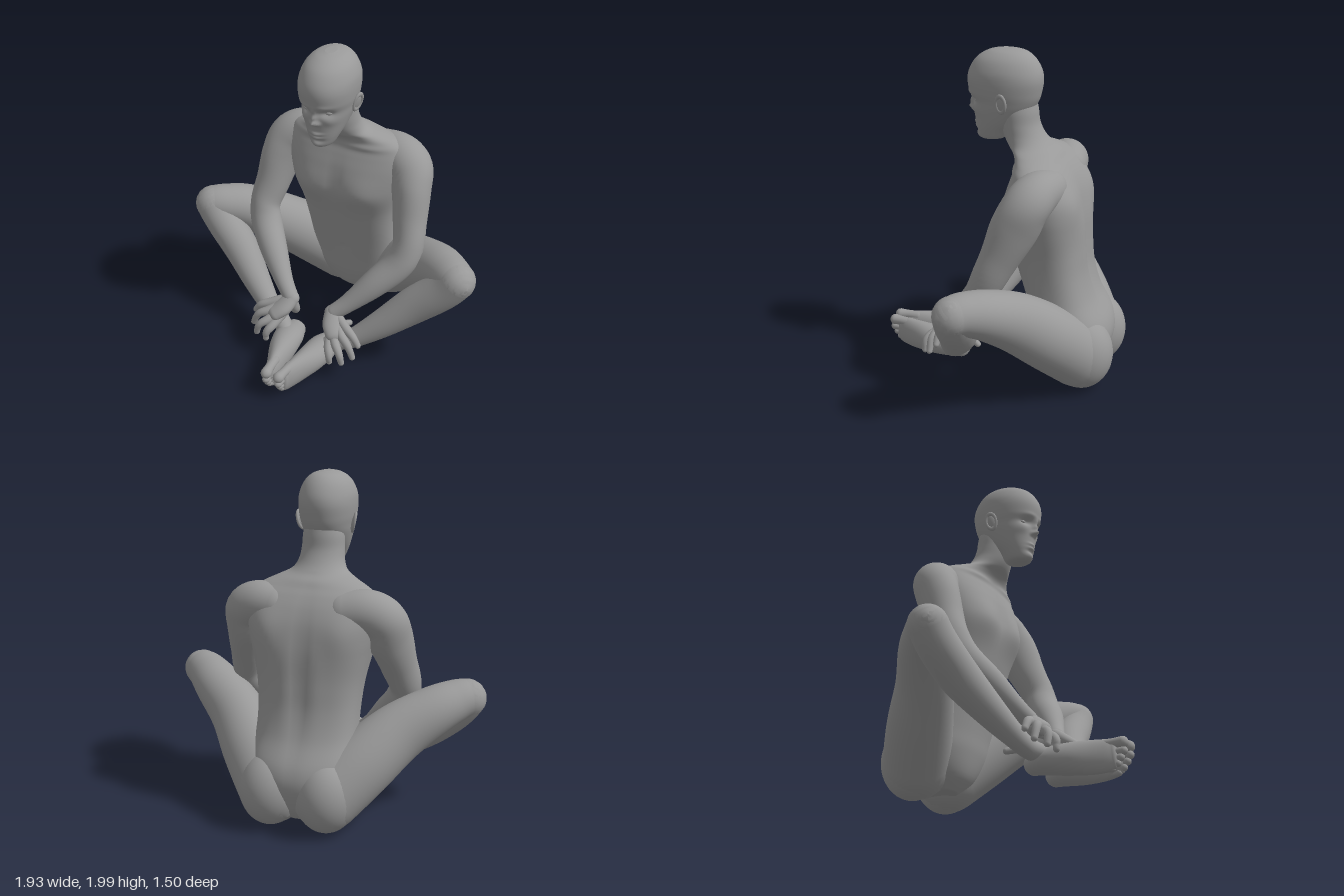
import * as THREE from 'three';

const skin = new THREE.MeshStandardMaterial({ color: 0x999999 });
skin.name = 'grey skin';
const V = (x, y, z) => new THREE.Vector3(x, y, z);

// Catmull-Rom interpolation of rows of numbers
function spline(rows, steps) {
  const out = [], n = rows.length - 1, at = i => rows[Math.min(n, Math.max(0, i))];
  for (let k = 0; k <= n * steps; k++) {
    const i = Math.min(n - 1, Math.floor(k / steps)), t = k / steps - i;
    const [a, b, c, d] = [at(i - 1), at(i), at(i + 1), at(i + 2)];
    out.push(b.map((_, j) => 0.5 * (2 * b[j] + (c[j] - a[j]) * t
      + (2 * a[j] - 5 * b[j] + 4 * c[j] - d[j]) * t * t
      + (3 * b[j] - a[j] - 3 * c[j] + d[j]) * t * t * t)));
  }
  return out;
}

// Skin a list of rings { c: centre, u, v: half axes, p: squareness }
function skinRings(rings, sides) {
  const pos = [], idx = [];
  const sq = (a, p) => Math.sign(a) * Math.pow(Math.abs(a), 2 / p);
  rings.forEach(({ c, u, v, p = 2 }, i) => {
    for (let j = 0; j < sides; j++) {
      const a = j / sides * Math.PI * 2;
      const q = c.clone().addScaledVector(u, sq(Math.cos(a), p)).addScaledVector(v, sq(Math.sin(a), p));
      pos.push(q.x, q.y, q.z);
      if (i === rings.length - 1) continue;
      const k = i * sides + j, l = i * sides + (j + 1) % sides;
      idx.push(k, k + sides, l, l, k + sides, l + sides);
    }
  });
  const g = new THREE.BufferGeometry();
  g.setAttribute('position', new THREE.Float32BufferAttribute(pos, 3));
  g.setIndex(idx);
  g.computeVertexNormals();
  return g;
}

// Upright body: rows of [y, half width, back z, front z, squareness]
function stack(rows, sides, steps) {
  const rings = spline(rows, steps).map(([y, w, b, f, p]) => ({
    c: V(0, y, (b + f) / 2), u: V(Math.max(w, 0.001), 0, 0), v: V(0, 0, Math.max((f - b) / 2, 0.001)), p,
  }));
  const end = r => ({ c: r.c, u: V(1e-4, 0, 0), v: V(0, 0, 1e-4) });
  return skinRings([end(rings[0]), ...rings, end(rings.at(-1))], sides);
}

// Swell (or dent) the front (dir 1) or back (dir -1): mirrored bumps of [x, y, height, x spread, y spread]
function sculpt(geo, dir, z0, bumps) {
  const p = geo.attributes.position;
  for (let i = 0; i < p.count; i++) {
    const x = Math.abs(p.getX(i)), y = p.getY(i), z = p.getZ(i);
    if ((z - z0) * dir < 0) continue;
    const h = bumps.reduce((t, [bx, by, k, sx, sy]) =>
      t + k * Math.exp(-(((x - bx) / sx) ** 2) - ((y - by) / sy) ** 2), 0);
    p.setZ(i, z + dir * h);
  }
  geo.computeVertexNormals();
}

// Limb with rounded ends: rows of [x, y, z, horizontal radius, other radius]
function limb(rows, { cap = 1, sides = 28, steps = 6 } = {}) {
  const pts = spline(rows.map(r => [...r.slice(0, 4), r[4] ?? r[3]]), steps);
  const P = pts.map(q => V(q[0], q[1], q[2])), n = pts.length - 1, rings = [];
  const add = (i, shift, k) => {
    const T = P[Math.min(n, i + 1)].clone().sub(P[Math.max(0, i - 1)]).normalize();
    const u = T.clone().cross(V(0, 1, 0)).normalize(), v = u.clone().cross(T);
    const [rx, ry] = pts[i].slice(3);
    rings.push({
      c: P[i].clone().addScaledVector(T, shift * cap * Math.min(rx, ry)),
      u: u.multiplyScalar(rx * k), v: v.multiplyScalar(ry * k),
    });
  };
  const arc = [0.02, 0.35, 0.7, 1.05, 1.35];
  arc.forEach(a => add(0, -Math.cos(a), Math.sin(a)));
  for (let i = 0; i <= n; i++) add(i, 0, 1);
  arc.reverse().forEach(a => add(n, Math.cos(a), Math.sin(a)));
  return skinRings(rings, sides);
}

export function createModel() {
  const body = new THREE.Group();
  body.name = 'seatedFigure';
  const put = (name, geo, parent = body) => {
    const m = new THREE.Mesh(geo, skin);
    m.name = name;
    parent.add(m);
    return m;
  };
  const ball = (name, p, r, parent) => {
    const m = put(name, new THREE.SphereGeometry(1, 32, 24), parent);
    m.position.set(...p);
    m.scale.set(...r);
  };

  // Torso running up through the shoulders into the neck
  const torso = stack([
    [0.07, 0.10, -0.60, -0.38, 2], [0.15, 0.22, -0.66, -0.30, 2], [0.28, 0.30, -0.705, -0.25, 2.2],
    [0.40, 0.315, -0.69, -0.225, 2.3], [0.55, 0.298, -0.605, -0.19, 2.5], [0.70, 0.297, -0.557, -0.15, 2.7],
    [0.85, 0.312, -0.54, -0.105, 2.7], [1.0, 0.345, -0.53, -0.06, 2.7], [1.1, 0.37, -0.515, -0.058, 2.6],
    [1.2, 0.39, -0.49, -0.075, 2.5], [1.28, 0.39, -0.455, -0.10, 2.4], [1.34, 0.365, -0.415, -0.12, 2.3],
    [1.38, 0.31, -0.38, -0.115, 2.1], [1.415, 0.235, -0.35, -0.09, 2], [1.45, 0.165, -0.305, -0.05, 2],
    [1.5, 0.135, -0.262, -0.02, 2], [1.57, 0.125, -0.228, 0, 2], [1.65, 0.12, -0.217, 0.01, 2], [1.73, 0.1, -0.2, 0, 2],
  ], 80, 6);
  sculpt(torso, 1, -0.25, [
    [0.17, 1.05, 0.022, 0.12, 0.11], [0, 1.1, -0.01, 0.035, 0.14], [0.17, 1.35, 0.01, 0.13, 0.02],
    [0, 0.52, -0.008, 0.02, 0.025],
  ]);
  sculpt(torso, -1, -0.3, [[0, 0.9, -0.016, 0.035, 0.35], [0.23, 1.16, 0.024, 0.11, 0.13], [0.09, 0.8, 0.006, 0.05, 0.25]]);
  put('torso', torso);

  // Head with sculpted brow, sockets, nose, cheeks, lips and chin
  const head = new THREE.Group();
  head.name = 'head';
  body.add(head);
  const skull = stack([
    [1.455, 0.035, 0.02, 0.115, 2], [1.47, 0.065, -0.02, 0.138, 2], [1.52, 0.092, -0.06, 0.148, 2.1],
    [1.58, 0.118, -0.13, 0.157, 2.1], [1.65, 0.14, -0.19, 0.167, 2.1], [1.70, 0.15, -0.22, 0.176, 2.1],
    [1.75, 0.16, -0.235, 0.194, 2.1], [1.82, 0.165, -0.245, 0.202, 2.1], [1.88, 0.158, -0.235, 0.187, 2],
    [1.94, 0.13, -0.20, 0.145, 2], [1.98, 0.085, -0.15, 0.08, 2], [1.997, 0.03, -0.08, 0.01, 2],
  ], 110, 9);
  sculpt(skull, 1, 0, [
    [0, 1.71, 0.013, 0.016, 0.025], [0, 1.67, 0.024, 0.017, 0.022], [0, 1.638, 0.036, 0.018, 0.016],
    [0.022, 1.628, 0.014, 0.012, 0.012], [0.065, 1.698, -0.022, 0.035, 0.022], [0.06, 1.742, 0.005, 0.045, 0.014],
    [0.09, 1.645, 0.01, 0.035, 0.03], [0, 1.556, 0.013, 0.036, 0.009], [0, 1.531, 0.013, 0.032, 0.01],
    [0, 1.508, -0.006, 0.04, 0.012], [0, 1.482, 0.01, 0.035, 0.02],
  ]);
  put('skull', skull, head);

  // Toes: [height, tip z, radius]; fingers: [knuckle], [middle joint], [tip]
  const toes = [[0.17, 0.715, 0.034], [0.122, 0.72, 0.024], [0.088, 0.703, 0.022], [0.058, 0.682, 0.021], [0.034, 0.65, 0.02]];
  const fingers = [
    [[0.265, 0.30, 0.27], [0.325, 0.275, 0.295], [0.362, 0.225, 0.30]],
    [[0.25, 0.275, 0.31], [0.315, 0.24, 0.345], [0.35, 0.165, 0.35]],
    [[0.225, 0.245, 0.345], [0.28, 0.205, 0.395], [0.30, 0.14, 0.40]],
    [[0.195, 0.22, 0.365], [0.22, 0.18, 0.41], [0.225, 0.13, 0.415]],
  ];

  for (const [s, side] of [[1, 'left'], [-1, 'right']]) {
    const flip = rows => rows.map(([x, ...r]) => [s * x, ...r]);
    const part = (name, rows, opt, parent) => put(side + name, limb(flip(rows), opt), parent);

    // Eye and ear
    ball(side + 'Eye', [s * 0.064, 1.697, 0.12], [0.03, 0.016, 0.022], head);
    const ear = new THREE.Group();
    ear.name = side + 'Ear';
    ear.position.set(s * 0.162, 1.706, -0.045);
    ear.rotation.set(-0.15, s * -0.3, s * -0.24);
    head.add(ear);
    const rim = put(side + 'EarRim', new THREE.TorusGeometry(0.031, 0.009, 10, 28), ear);
    rim.rotation.y = Math.PI / 2;
    rim.scale.set(1, 1.6, 1);
    ball(side + 'EarBowl', [s * -0.004, -0.005, 0], [0.011, 0.05, 0.03], ear);

    // Arm from the shoulder blade over the shoulder, through the elbow to the wrist
    part('Arm', [
      [0.2, 1.25, -0.335, 0.12], [0.32, 1.255, -0.31, 0.13, 0.13], [0.405, 1.205, -0.275, 0.135, 0.135],
      [0.443, 1.08, -0.22, 0.118, 0.14],
      [0.473, 0.92, -0.15, 0.103, 0.115], [0.497, 0.77, -0.08, 0.094, 0.1], [0.455, 0.66, -0.025, 0.097, 0.095],
      [0.35, 0.54, 0.07, 0.084], [0.23, 0.415, 0.165, 0.058], [0.155, 0.35, 0.215, 0.049],
    ], { sides: 32 });

    // Hand resting on the ankle
    const hand = new THREE.Group();
    hand.name = side + 'Hand';
    body.add(hand);
    part('Palm', [[0.145, 0.345, 0.215, 0.052, 0.045], [0.18, 0.30, 0.27, 0.07, 0.045], [0.22, 0.265, 0.31, 0.068, 0.042]], {}, hand);
    fingers.forEach((f, i) => part('Finger' + (i + 1), [
      [0.15 + 0.01 * (3 - i), 0.335 - 0.015 * i, 0.225, 0.03],
      [...f[0], 0.029], [...f[1], 0.024], [...f[2], 0.019],
    ], { sides: 14, steps: 5 }, hand));
    part('Thumb', [[0.135, 0.32, 0.225, 0.035], [0.13, 0.25, 0.2, 0.03], [0.16, 0.20, 0.15, 0.024], [0.2, 0.18, 0.09, 0.019]], { sides: 14 }, hand);

    // Leg
    ball(side + 'Buttock', [s * 0.17, 0.23, -0.555], [0.185, 0.226, 0.193]);
    part('Thigh', [
      [0.165, 0.21, -0.535, 0.2], [0.33, 0.375, -0.405, 0.19, 0.195], [0.5, 0.535, -0.26, 0.165, 0.175],
      [0.68, 0.65, -0.14, 0.145, 0.145], [0.79, 0.695, -0.05, 0.126, 0.124], [0.85, 0.704, -0.005, 0.113],
    ], { sides: 36 });
    part('Shin', [
      [0.85, 0.704, -0.005, 0.113], [0.8, 0.64, 0.005, 0.115], [0.73, 0.57, 0.022, 0.116], [0.61, 0.465, 0.058, 0.112],
      [0.45, 0.32, 0.14, 0.088], [0.3, 0.2, 0.215, 0.063], [0.21, 0.158, 0.25, 0.058], [0.15, 0.14, 0.3, 0.052],
    ]);

    // Foot on its outer edge, sole facing the other foot
    const foot = new THREE.Group();
    foot.name = side + 'Foot';
    body.add(foot);
    part('FootBody', [
      [0.125, 0.097, 0.215, 0.07, 0.056], [0.12, 0.108, 0.3, 0.092, 0.074], [0.1, 0.108, 0.42, 0.084, 0.09],
      [0.07, 0.105, 0.55, 0.058, 0.096], [0.052, 0.106, 0.63, 0.042, 0.092], [0.047, 0.108, 0.665, 0.032, 0.08],
    ], { cap: 0.8 }, foot);
    ball(side + 'AnkleBone', [s * 0.215, 0.19, 0.26], [0.03, 0.03, 0.035], foot);
    toes.forEach(([y, z, r], i) => part('Toe' + (i + 1), [
      [0.055, y * 0.95 + 0.005, z - 0.12, r * 0.95], [0.048, y, z - 0.05, r * 0.85], [0.042, y, z, r],
    ], { sides: 14 }, foot));
  }
  return body;
}
